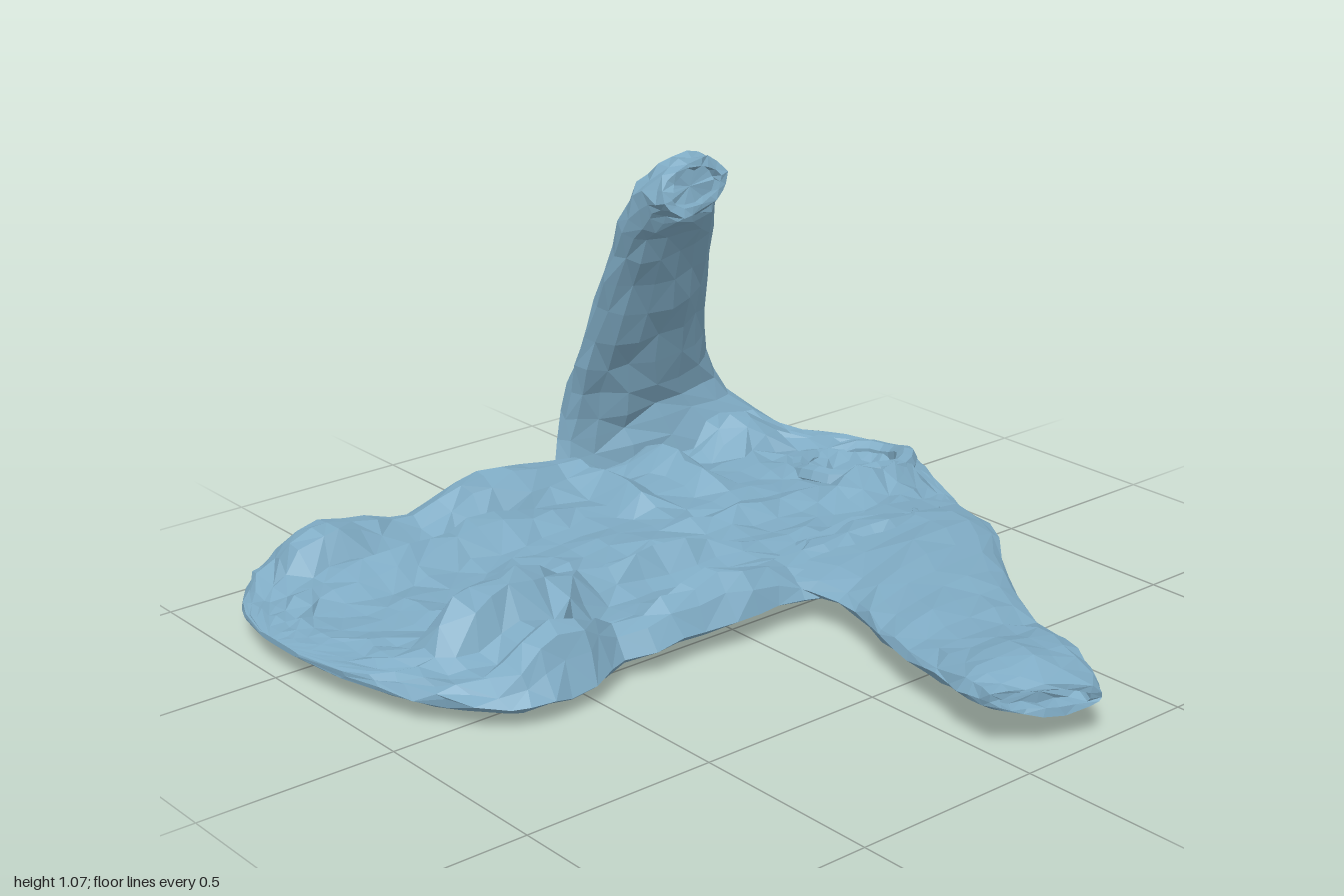
import * as THREE from 'three';

const cloth = new THREE.MeshStandardMaterial({ color: 0x7fabc4, flatShading: true, side: THREE.DoubleSide });

// Seeded random in -1..1 for the crumpled cloth
let seed = 7;
const rnd = () => {
  seed = (seed * 16807) % 2147483647;
  return (seed / 2147483647) * 2 - 1;
};
const V = (x, y, z) => new THREE.Vector3(x, y, z);

// Skin a list of equal-sized rings and close both ends
function loft(name, rings) {
  const n = rings[0].length, pos = [], idx = [];
  rings.forEach(r => r.forEach(p => pos.push(p.x, p.y, p.z)));
  for (let i = 0; i < rings.length - 1; i++) {
    for (let j = 0; j < n; j++) {
      const a = i * n + j, b = i * n + (j + 1) % n;
      if ((i * 7 + j * 3) % 5 < 2) idx.push(a, a + n, b, b, a + n, b + n);
      else idx.push(a, a + n, b + n, a, b + n, b);
    }
  }
  [0, rings.length - 1].forEach((i, end) => {
    const c = rings[i].reduce((s, p) => s.add(p), V(0, 0, 0)).divideScalar(n);
    const k = pos.length / 3;
    pos.push(c.x, c.y, c.z);
    for (let j = 0; j < n; j++) {
      const a = i * n + j, b = i * n + (j + 1) % n;
      if (end) idx.push(k, b, a); else idx.push(k, a, b);
    }
  });
  const g = new THREE.BufferGeometry();
  g.setAttribute('position', new THREE.Float32BufferAttribute(pos, 3));
  g.setIndex(idx);
  g.computeVertexNormals();
  const m = new THREE.Mesh(g, cloth);
  m.name = name;
  return m;
}

// Torso outline by row: z, right edge, left edge, underside height, upper height
const rows = [
  [-0.98, -0.54, -0.34, 0.09, 0.12], [-0.93, -0.64, -0.25, 0.08, 0.13],
  [-0.87, -0.73, -0.16, 0.07, 0.13], [-0.82, -0.78, 0.0, 0.065, 0.13],
  [-0.62, -0.96, 0.16, 0.05, 0.13], [-0.53, -0.91, 0.16, 0.05, 0.13],
  [-0.2, -0.92, 0.13, 0.045, 0.125], [-0.1, -0.95, 0.1, 0.04, 0.125],
  [0.03, -1.0, 0.1, 0.035, 0.125], [0.2, -0.95, 0.08, 0.03, 0.12],
  [0.4, -0.95, 0.07, 0.015, 0.115], [0.52, -0.94, 0.12, 0.005, 0.115],
  [0.7, -0.96, 0.125, 0.005, 0.115], [0.77, -0.95, 0.08, 0.015, 0.11],
  [0.86, -0.87, -0.02, 0.035, 0.11], [0.93, -0.77, -0.18, 0.055, 0.1],
  [0.96, -0.7, -0.28, 0.065, 0.095], [0.98, -0.6, -0.42, 0.075, 0.09],
];
function rowAt(z) {
  let i = 0;
  while (i < rows.length - 2 && rows[i + 1][0] < z) i++;
  const t = (z - rows[i][0]) / (rows[i + 1][0] - rows[i][0]);
  return rows[i].map((v, k) => v + (rows[i + 1][k] - v) * t);
}

// Flat-topped folds and hollows: x, z, width, length, height
const folds = [
  [-0.16, 0.57, 0.1, 0.21, 0.14], [0.04, 0.55, 0.07, 0.16, 0.1],
  [-0.2, 0.15, 0.05, 0.3, 0.06], [0.03, 0.1, 0.06, 0.25, 0.08],
  [-0.82, 0.64, 0.1, 0.19, 0.1], [-0.84, 0.15, 0.1, 0.28, 0.09],
  [-0.64, 0.4, 0.05, 0.4, 0.055], [-0.7, -0.36, 0.22, 0.05, 0.06],
  [-0.68, -0.17, 0.22, 0.05, 0.06], [-0.8, -0.68, 0.13, 0.14, 0.09],
  [-0.25, -0.72, 0.06, 0.16, 0.05], [0.0, -0.45, 0.06, 0.25, 0.04],
  [-0.33, -0.2, 0.04, 0.3, 0.025], [-0.42, -0.81, 0.13, 0.14, -0.04],
];
const foldHeight = (x, z) => folds.reduce((s, [fx, fz, w, l, h]) =>
  s + h * Math.exp(-((((x - fx) / w) ** 2 + ((z - fz) / l) ** 2) ** 2)), 0);

function torso() {
  const rings = [], cols = 22, steps = 34;
  for (let i = 0; i <= steps; i++) {
    const v = 2 * i / steps - 1;
    const z = 0.98 * (0.6 * Math.sin(v * Math.PI / 2) + 0.4 * v);
    const [, xl, xr, low, high] = rowAt(z);
    const rim = low + (high - low) * 0.5, half = (xr - xl) / 2;
    const soft = Math.min(1, (0.98 - Math.abs(z)) * 8);
    const ring = [];
    for (let j = 0; j < cols * 2; j++) {
      const top = j <= cols;
      const s = (top ? j : 2 * cols - j) / cols * 2 - 1;
      const u = Math.sin(s * Math.PI / 2) * 0.5 + s * 0.5;
      const side = Math.sqrt(Math.max(0, 1 - Math.abs(u) ** (top ? 8 : 4)));
      const x = (xl + xr) / 2 + u * half;
      const y = top
        ? rim + (high - rim + soft * foldHeight(x, z)) * side + rnd() * soft * 0.011
        : rim + (low - rim) * side + Math.abs(rnd()) * soft * 0.008;
      ring.push(V(x + rnd() * 0.014 * soft, y, z + rnd() * 0.012 * soft));
    }
    rings.push(ring);
  }
  return loft('shirtBody', rings);
}

// Flattened sleeve with a recessed cuff; each section is [back edge, front edge, half thickness]
function sleeve(name, sections) {
  const curve = f => new THREE.CatmullRomCurve3(sections.map(f));
  const back = curve(s => V(...s[0])), front = curve(s => V(...s[1]));
  const thick = curve((s, i) => V(s[2], i, 0));
  const rings = [], n = 16, steps = 15;
  const ringAt = (t, scale, jitter) => {
    const a = back.getPoint(t), b = front.getPoint(t);
    const mid = a.clone().add(b).multiplyScalar(0.5);
    const w = b.clone().sub(a).multiplyScalar(0.5);
    const axis = back.getTangent(t).add(front.getTangent(t));
    const up = w.clone().cross(axis).normalize().multiplyScalar(thick.getPoint(t).x * scale);
    w.multiplyScalar(1 - (1 - scale) * 0.6);
    return Array.from({ length: n }, (_, j) => {
      const q = j / n * Math.PI * 2, k = 1 + rnd() * jitter;
      return mid.clone().addScaledVector(w, Math.cos(q)).addScaledVector(up, Math.sin(q) * k)
        .add(V(rnd(), rnd(), rnd()).multiplyScalar(jitter * 0.05));
    });
  };
  for (let i = 0; i <= steps; i++) rings.push(ringAt(i / steps, 1, 0.14));
  rings.push(ringAt(1, 0.65, 0.1), ringAt(0.94, 0.55, 0.1));
  return loft(name, rings);
}

export function createModel() {
  const shirt = new THREE.Group();
  shirt.name = 'crumpledShirt';
  shirt.add(torso());

  // Left sleeve lies flat
  shirt.add(sleeve('leftSleeve', [
    [[-0.08, 0.11, -0.83], [-0.05, 0.1, -0.1], 0.045],
    [[0.13, 0.12, -0.77], [0.2, 0.1, -0.17], 0.055],
    [[0.4, 0.12, -0.56], [0.41, 0.1, -0.1], 0.052],
    [[0.66, 0.12, -0.4], [0.62, 0.11, -0.04], 0.043],
    [[0.86, 0.14, -0.32], [0.78, 0.13, 0.0], 0.06],
    [[0.99, 0.11, -0.25], [0.88, 0.14, 0.02], 0.04],
  ]));

  // Right sleeve rises from the shoulder, leans inwards and bends over at the cuff
  shirt.add(sleeve('rightSleeve', [
    [[-0.76, 0.12, -0.86], [-0.87, 0.1, -0.11], 0.05],
    [[-0.88, 0.27, -0.71], [-0.88, 0.25, -0.14], 0.07],
    [[-0.82, 0.46, -0.6], [-0.81, 0.45, -0.15], 0.07],
    [[-0.71, 0.71, -0.52], [-0.7, 0.68, -0.15], 0.072],
    [[-0.59, 0.92, -0.44], [-0.59, 0.87, -0.14], 0.078],
    [[-0.5, 1.01, -0.38], [-0.51, 0.96, -0.14], 0.082],
    [[-0.43, 1.03, -0.35], [-0.43, 0.98, -0.15], 0.07],
  ]));

  // Collar band around the neck opening, higher on its left
  const band = new THREE.TorusGeometry(0.15, 0.03, 7, 22);
  band.rotateX(Math.PI / 2);
  const p = band.attributes.position;
  for (let i = 0; i < p.count; i++) {
    const a = Math.atan2(p.getZ(i), p.getX(i));
    p.setY(i, p.getY(i) + 0.025 * Math.cos(a) + 0.006 * Math.sin(5 * a));
  }
  const collar = new THREE.Mesh(band, cloth);
  collar.name = 'collar';
  collar.position.set(-0.42, 0.12, -0.8);
  shirt.add(collar);
  return shirt;
}
